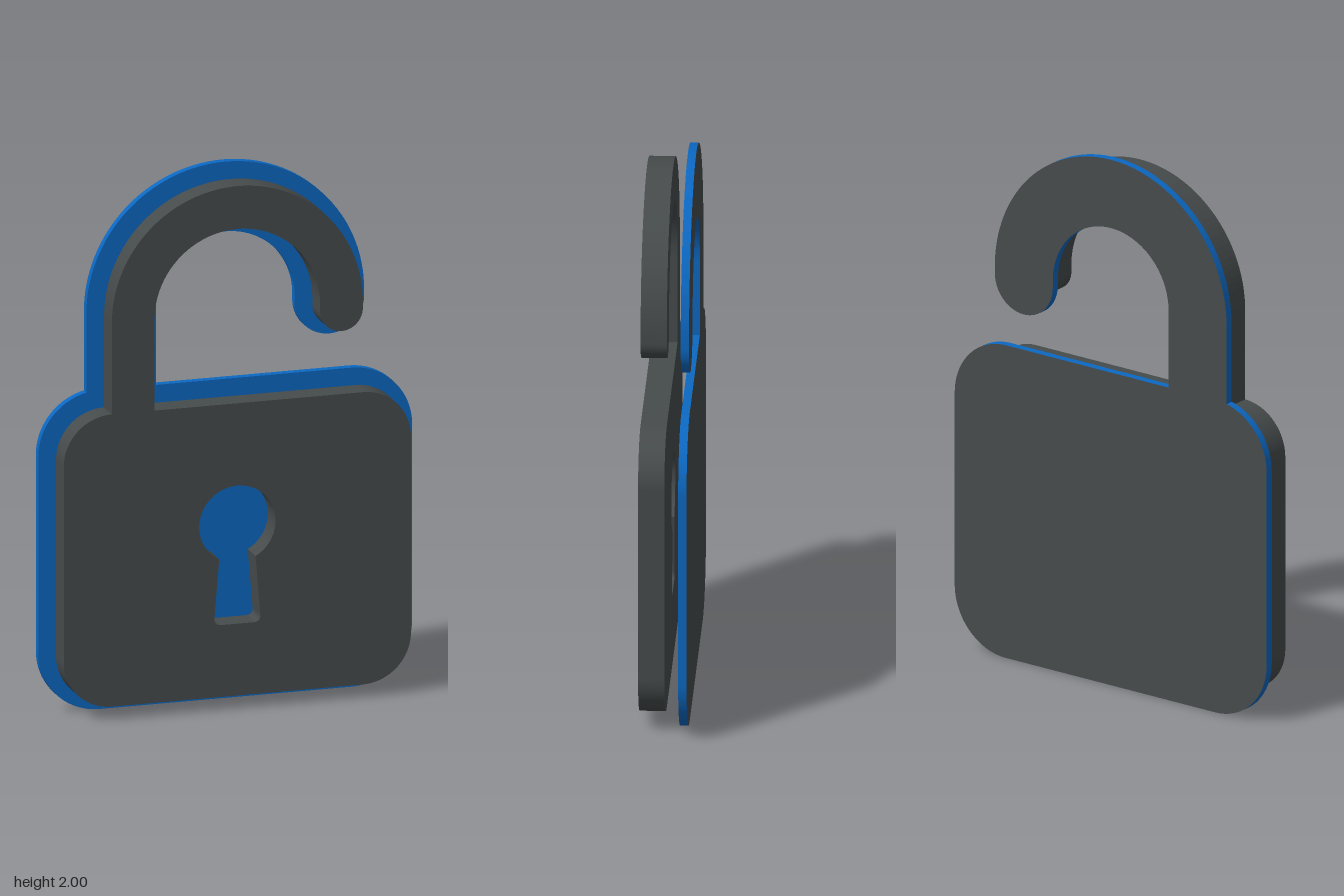
import * as THREE from 'three';

const darkGrey = new THREE.MeshStandardMaterial({ color: 0x464b4b });
const blue = new THREE.MeshStandardMaterial({ color: 0x0c68c2 });
darkGrey.name = 'dark grey';
blue.name = 'blue';

const ARC_Y = 1.48;  // centre height of the shackle arch
const TIP_Y = 1.455; // centre height of the rounded open end

// Open padlock outline; grow pushes the whole outline outwards
function padlockOutline(grow) {
  const r = 0.18 + grow, cx = 0.47, low = 0.23, high = 0.96;
  const outer = 0.47 + grow, inner = 0.31 - grow;
  const legAngle = Math.PI / 2 + Math.asin((outer - cx) / r);
  const s = new THREE.Shape();
  // body, counter-clockwise from the bottom right corner
  s.absarc(cx, low, r, -Math.PI / 2, 0, false);
  s.absarc(cx, high, r, 0, Math.PI / 2, false);
  // inside of the leg and arch
  s.lineTo(-inner, high + r);
  s.lineTo(-inner, ARC_Y);
  s.absarc(0, ARC_Y, inner, Math.PI, 0, true);
  // rounded open end
  s.absarc((outer + inner) / 2, TIP_Y, (outer - inner) / 2, Math.PI, Math.PI * 2, false);
  // outside of the arch and leg, then the left body corners
  s.absarc(0, ARC_Y, outer, 0, Math.PI, false);
  s.absarc(-cx, high, r, legAngle, Math.PI, false);
  s.absarc(-cx, low, r, Math.PI, Math.PI * 1.5, false);
  s.closePath();
  return s;
}

// Round keyhole with a flared, soft-cornered slot
function keyhole() {
  const r = 0.143, cy = 0.69, top = 0.068, foot = 0.088, bottom = 0.318, soft = 0.028;
  const a = Math.acos(top / r);
  const p = new THREE.Path();
  p.absarc(0, cy, r, -a, Math.PI + a, false);
  p.lineTo(-foot + 0.002, bottom + soft);
  p.quadraticCurveTo(-foot, bottom, -foot + soft, bottom);
  p.lineTo(foot - soft, bottom);
  p.quadraticCurveTo(foot, bottom, foot - 0.002, bottom + soft);
  p.closePath();
  return p;
}

function plate(name, shape, back, depth, materials) {
  const geo = new THREE.ExtrudeGeometry(shape, { depth, bevelEnabled: false, curveSegments: 32 });
  geo.translate(0, 0, back);
  const mesh = new THREE.Mesh(geo, materials);
  mesh.name = name;
  return mesh;
}

export function createModel() {
  const group = new THREE.Group();
  group.name = 'openPadlock';

  // thick front plate with the keyhole cut through
  const frontShape = padlockOutline(0);
  frontShape.holes.push(keyhole());
  group.add(plate('frontPlate', frontShape, -0.006, 0.094, darkGrey));

  // thin, larger backing plate: blue front and rim, dark rear face
  const backing = plate('backingPlate', padlockOutline(0.05), -0.088, 0.03, [blue, darkGrey]);
  const geo = backing.geometry;
  const rear = geo.groups[0].count / 2; // rear cap comes first
  const total = geo.attributes.position.count;
  geo.clearGroups();
  geo.addGroup(0, rear, 1);
  geo.addGroup(rear, total - rear, 0);
  group.add(backing);

  return group;
}
